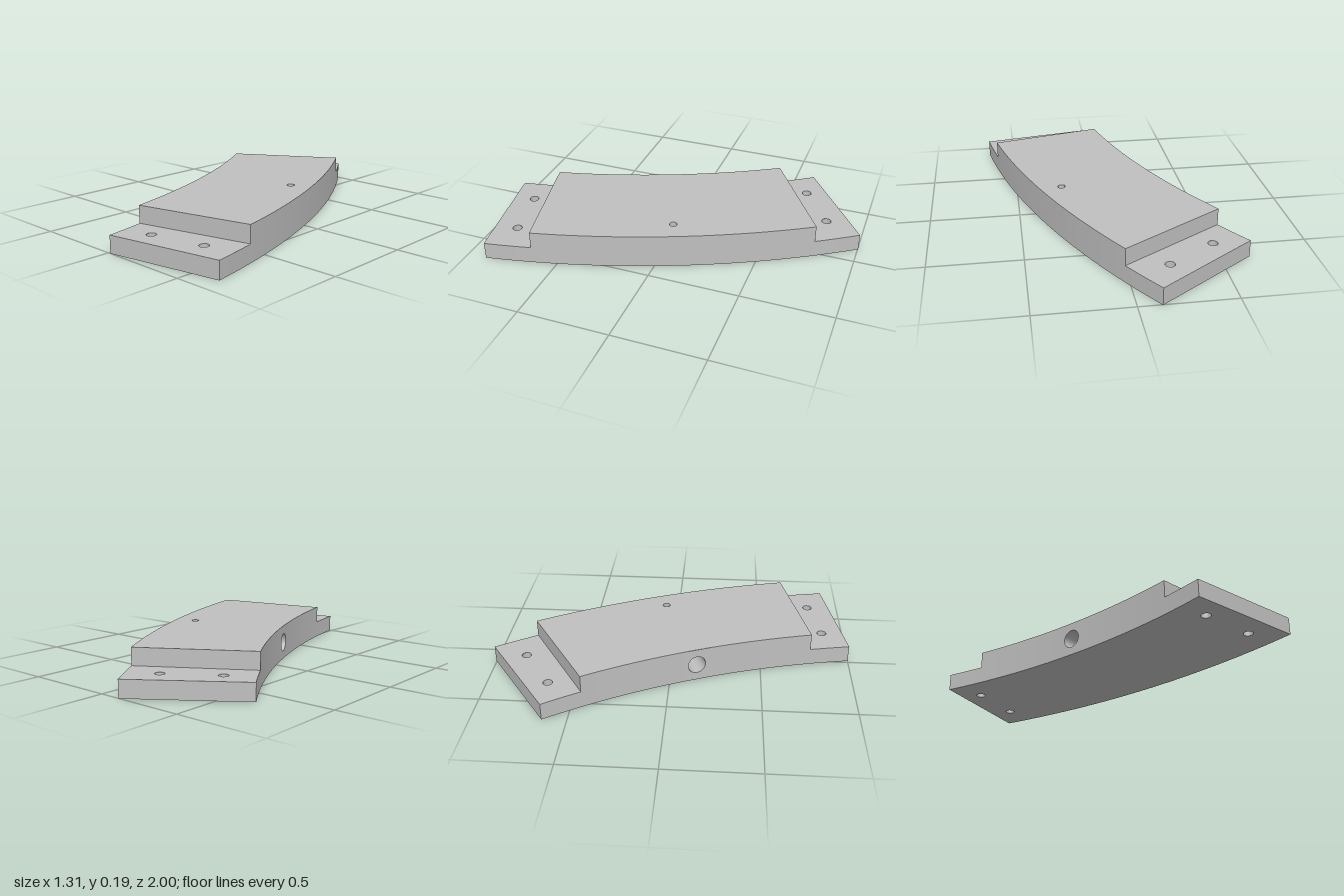
import * as THREE from 'three';
import { mergeGeometries } from 'three/addons/utils/BufferGeometryUtils.js';

const rad = THREE.MathUtils.degToRad;
const CX = -3.976, CZ = 1.686;              // centre of the arc in plan
const R0 = 4.05, R1 = 4.7;                  // inner and outer radius
const LOW = 0.095, TOP = 0.19;              // flange and block heights
const A0 = rad(9.75), A1 = rad(12.95), A2 = rad(31.7), A3 = rad(34.9);
const MID = (A0 + A3) / 2;
const PORT_R = 0.05, PORT_END = 4.63, PORT_W = 0.08 / R0;
const BOLT_R = 0.026, PIN_R = 0.021, PIN_AT = 4.582;

const at = (r, a, y) => [CX + r * Math.cos(a), y, CZ - r * Math.sin(a)];

// turn a surface inside out
function flip(geo) {
  const ix = geo.index.array;
  for (let i = 0; i < ix.length; i += 3) [ix[i], ix[i + 1]] = [ix[i + 1], ix[i]];
  const n = geo.attributes.normal.array;
  for (let i = 0; i < n.length; i++) n[i] *= -1;
  return geo;
}

// flat ring sector with round holes [radius, angle, size]
function sector(y, a, b, holes) {
  const s = new THREE.Shape();
  s.absarc(CX, -CZ, R1, a, b, false);
  s.absarc(CX, -CZ, R0, b, a, true);
  for (const [r, ang, size] of holes) {
    const [x, , z] = at(r, ang, 0);
    s.holes.push(new THREE.Path().absarc(x, -z, size, 0, Math.PI * 2, true));
  }
  return new THREE.ShapeGeometry(s, 32).rotateX(-Math.PI / 2).translate(0, y, 0);
}

// curved side wall, facing away from the arc centre
function wall(r, a, b, y0, y1) {
  return new THREE.CylinderGeometry(r, r, y1 - y0, 32, 1, true, a + Math.PI / 2, b - a)
    .translate(CX, (y0 + y1) / 2, CZ);
}

// straight radial face, facing towards the front end
function endFace(a, y0, y1) {
  return new THREE.PlaneGeometry(R1 - R0, y1 - y0).rotateY(a)
    .translate(...at((R0 + R1) / 2, a, (y0 + y1) / 2));
}

// inward-facing lining of an upright hole
function bore([r, a, size], y0, y1) {
  return flip(new THREE.CylinderGeometry(size, size, y1 - y0, 32, 1, true))
    .translate(...at(r, a, (y0 + y1) / 2));
}

export function createModel() {
  const group = new THREE.Group();
  const grey = new THREE.MeshStandardMaterial({ color: 0xc0c0c0 });
  grey.name = 'grey';
  const add = (name, geos) => {
    const mesh = new THREE.Mesh(mergeGeometries(geos), grey);
    mesh.name = name;
    group.add(mesh);
  };

  const bolts = (deg) => [4.215, 4.525].map((r) => [r, rad(deg), BOLT_R]);
  const frontBolts = bolts(11.35), backBolts = bolts(33.35);
  const pin = [PIN_AT, MID, PIN_R];

  // underside, pierced by the four bolt holes
  add('underside', [flip(sector(0, A0, A3, [...frontBolts, ...backBolts]))]);

  // thin flanges at both ends
  for (const [name, a, b, holes] of [
    ['frontFlange', A0, A1, frontBolts], ['backFlange', A2, A3, backBolts],
  ]) {
    const end = name === 'frontFlange' ? endFace(A0, 0, LOW) : flip(endFace(A3, 0, LOW));
    add(name, [
      sector(LOW, a, b, holes), end,
      wall(R1, a, b, 0, LOW), flip(wall(R0, a, b, 0, LOW)),
    ]);
    add(name + 'BoltHoles', holes.map((h) => bore(h, 0, LOW)));
  }

  // raised curved block between the flanges
  add('curvedBlock', [
    sector(TOP, A1, A2, [pin]),
    endFace(A1, LOW, TOP), flip(endFace(A2, LOW, TOP)),
    wall(R1, A1, A2, 0, TOP),
    flip(wall(R0, A1, MID - PORT_W, 0, TOP)),
    flip(wall(R0, MID + PORT_W, A2, 0, TOP)),
  ]);

  // piece of the inner wall around the side port
  const half = R0 * Math.sin(PORT_W), face = R0 * Math.cos(PORT_W);
  const panel = new THREE.Shape([[-half, 0], [half, 0], [half, TOP], [-half, TOP]]
    .map(([x, y]) => new THREE.Vector2(x, y)));
  panel.holes.push(new THREE.Path().absarc(0, LOW, PORT_R, 0, Math.PI * 2, true));
  add('portSurround', [
    new THREE.ShapeGeometry(panel, 32).rotateY(MID - Math.PI / 2).translate(...at(face, MID, 0)),
  ]);

  // blind side port with its flat end
  add('sidePort', [
    flip(new THREE.CylinderGeometry(PORT_R, PORT_R, PORT_END - face, 32, 1, true))
      .rotateZ(-Math.PI / 2).rotateY(MID).translate(...at((face + PORT_END) / 2, MID, LOW)),
    new THREE.CircleGeometry(PORT_R, 32).rotateY(MID - Math.PI / 2)
      .translate(...at(PORT_END, MID, LOW)),
  ]);

  // small upright hole leading down into the port
  add('topHole', [bore(pin, LOW + 0.046, TOP)]);

  return group;
}
